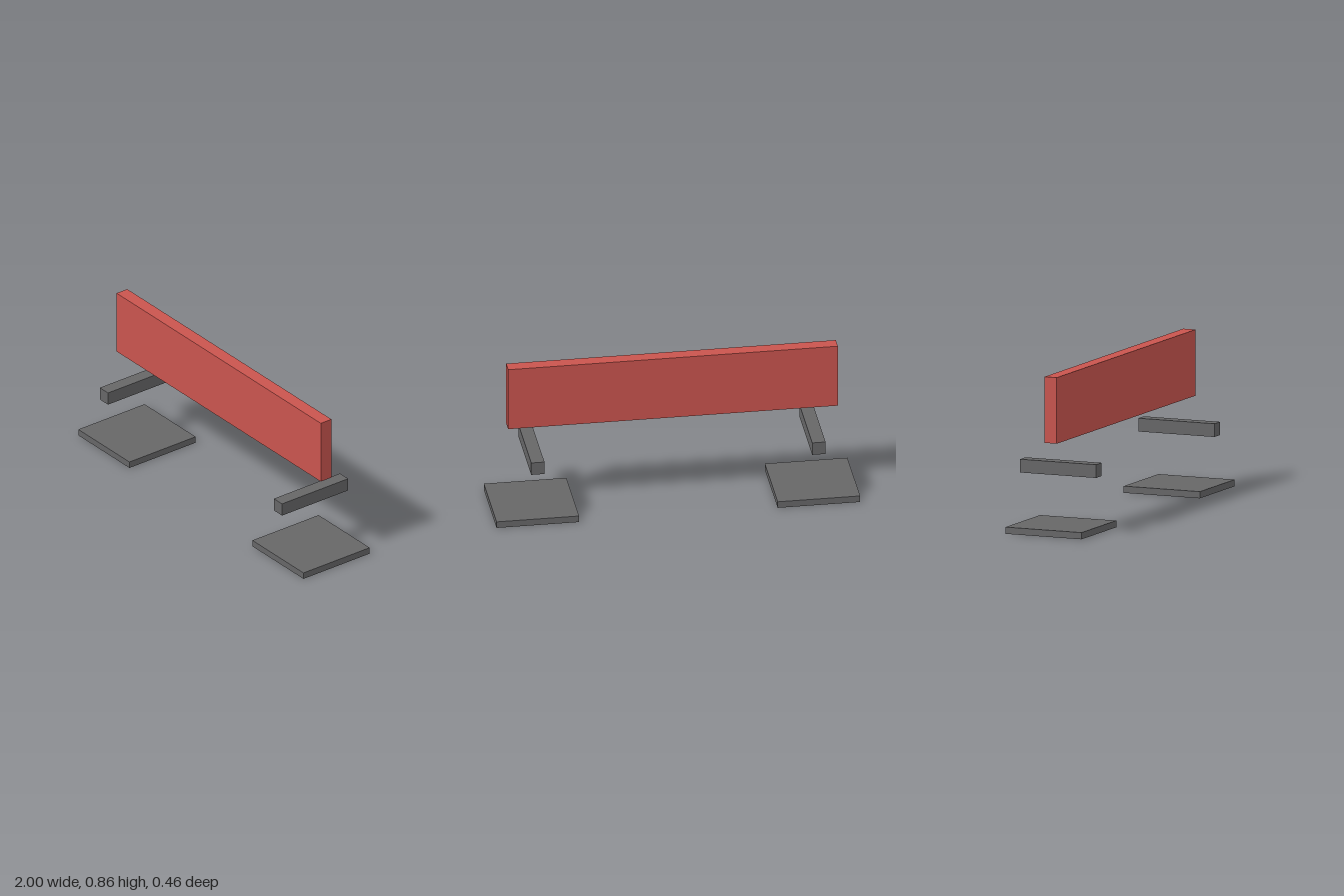
import * as THREE from 'three';

export function createModel() {
  const model = new THREE.Group();
  model.name = 'barrier';

  const red = new THREE.MeshStandardMaterial({ color: 0xc9544e });
  red.name = 'red';
  const grey = new THREE.MeshStandardMaterial({ color: 0x666667 });
  grey.name = 'dark grey';

  // Box standing on a given height
  function addBox(name, material, [w, h, d], x, bottom) {
    const mesh = new THREE.Mesh(new THREE.BoxGeometry(w, h, d), material);
    mesh.name = name;
    mesh.position.set(x, bottom + h / 2, 0);
    model.add(mesh);
  }

  // Long upright board
  addBox('board', red, [1.814, 0.364, 0.073], 0, 0.5);

  // Floating cross bar and foot plate at each end
  for (const [side, s] of [['left', 1], ['right', -1]]) {
    addBox(side + 'CrossBar', grey, [0.073, 0.073, 0.455], s * 0.773, 0.31);
    addBox(side + 'FootPlate', grey, [0.454, 0.037, 0.455], s * 0.773, 0);
  }

  return model;
}
